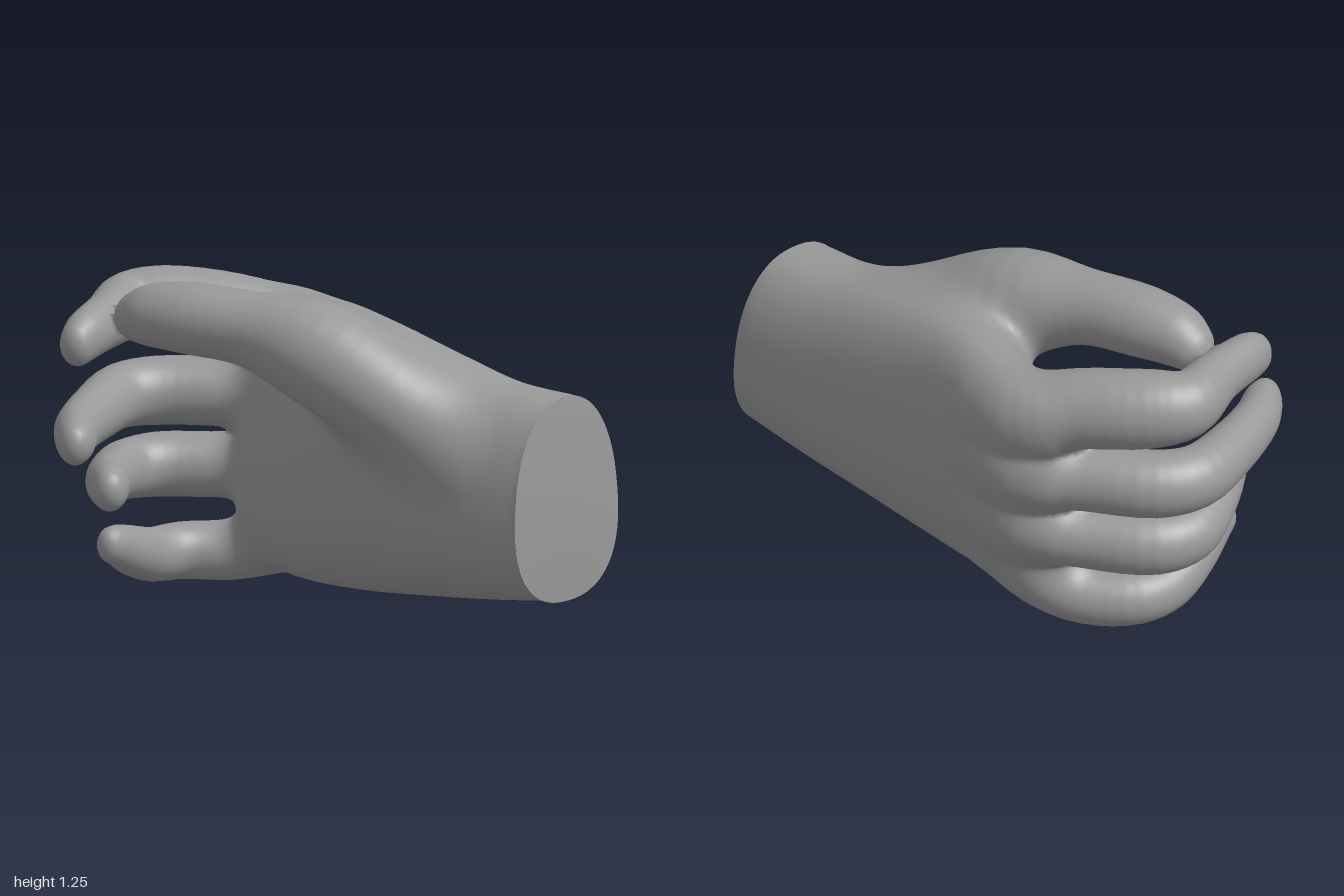
import * as THREE from 'three';

// Palm and wrist cross-sections along z: centre x, centre y, half width, half height,
// lean of x with y, and narrowing towards the top
const PALM_Z = [-0.56, -0.42, -0.2, 0.1, 0.4, 0.7, 0.95];
const PALM = [
  0.33, 0.60, 0.12, 0.45, 0.16, 0,
  0.335, 0.60, 0.195, 0.49, 0.15, 0.1,
  0.325, 0.595, 0.24, 0.52, 0.12, 0.1,
  0.305, 0.59, 0.265, 0.51, 0.05, 0.07,
  0.315, 0.575, 0.28, 0.465, 0.02, 0.07,
  0.345, 0.56, 0.28, 0.415, 0.01, 0.1,
  0.38, 0.57, 0.275, 0.39, 0.02, 0.12,
];
const POWER = 2.35;

// Digits as a path of x, y, z, radius; blend is how softly the base flows into the palm,
// flatten is how much thinner than tall the tip is
const DIGITS = {
  thumb: { blend: 0.13, flatten: 0, path: [
    [0.225, 0.73, 0.56, 0.18], [0.11, 0.895, 0.32, 0.2], [0.025, 1.03, 0.07, 0.2], [-0.07, 1.1, -0.18, 0.145],
    [-0.16, 1.12, -0.42, 0.137], [-0.205, 1.115, -0.56, 0.12], [-0.215, 1.1, -0.625, 0.098]] },
  indexFinger: { blend: 0.09, flatten: 0.25, path: [
    [0.42, 0.92, -0.28, 0.13], [0.41, 0.95, -0.42, 0.15], [0.28, 1.01, -0.6, 0.15], [0.12, 1.04, -0.79, 0.145],
    [0, 1.05, -0.873, 0.12], [-0.2, 1.05, -0.807, 0.094], [-0.38, 1.035, -0.757, 0.08], [-0.44, 1.02, -0.74, 0.066]] },
  middleFinger: { blend: 0.09, flatten: 0.25, path: [
    [0.42, 0.72, -0.28, 0.12], [0.41, 0.71, -0.43, 0.14], [0.27, 0.71, -0.62, 0.13], [0.1, 0.71, -0.825, 0.125],
    [-0.04, 0.71, -0.88, 0.115], [-0.26, 0.7, -0.815, 0.1], [-0.47, 0.695, -0.715, 0.086], [-0.55, 0.69, -0.65, 0.077],
    [-0.597, 0.685, -0.61, 0.06]] },
  ringFinger: { blend: 0.09, flatten: 0.25, path: [
    [0.4, 0.46, -0.28, 0.12], [0.38, 0.45, -0.43, 0.13], [0.25, 0.43, -0.62, 0.122], [0.09, 0.43, -0.805, 0.118],
    [-0.05, 0.435, -0.84, 0.106], [-0.23, 0.46, -0.755, 0.092], [-0.38, 0.485, -0.645, 0.08], [-0.45, 0.497, -0.57, 0.074],
    [-0.487, 0.5, -0.535, 0.06]] },
  littleFinger: { blend: 0.09, flatten: 0.25, path: [
    [0.34, 0.24, -0.25, 0.11], [0.31, 0.17, -0.4, 0.12], [0.22, 0.12, -0.55, 0.112], [0.08, 0.12, -0.685, 0.103],
    [-0.06, 0.13, -0.705, 0.094], [-0.22, 0.185, -0.67, 0.082], [-0.33, 0.233, -0.64, 0.064], [-0.375, 0.247, -0.63, 0.053]] },
};

const palmSection = new THREE.CubicInterpolant(PALM_Z, PALM, 6, new Float32Array(6));
const wristZ = (x, y) => 0.994 - 0.04 * (y - 0.18) + 0.03 * (x - 0.38);

// Smooth minimum of two distances
function blendMin(a, b, k) {
  const h = Math.max(k - Math.abs(a - b), 0);
  return Math.min(a, b) - (h * h) / (4 * k);
}

// Distance to the palm: a boxy egg-shaped oval swept along z, rounded off at the finger webs
function palmDistance(x, y, z) {
  const [cx, cy, hx, hy, lean, narrow] = palmSection.evaluate(z);
  const up = THREE.MathUtils.clamp((y - cy) / hy, -1.2, 1.2);
  const width = hx * (1 - narrow * up);
  const u = Math.abs(x - cx - lean * (y - cy)) / width, v = Math.abs(y - cy) / hy;
  const g = Math.max(Math.pow(u ** POWER + v ** POWER, 1 / POWER), 0.05);
  const slope = Math.hypot((u / g) ** (POWER - 1) / width, (v / g) ** (POWER - 1) / hy);
  const side = (g - 1) / Math.max(slope, 1);
  return -blendMin(-side, z + 0.5 + 0.1 * THREE.MathUtils.clamp(y, 0, 0.9), 0.12);
}

// Sample a digit's path into short tapered capsules: x, y, z, radius, flatness
function digitCapsules({ path, flatten }) {
  const curve = new THREE.CatmullRomCurve3(path.map((p) => new THREE.Vector3(p[0], p[1], p[2])));
  const radii = new THREE.CubicInterpolant(path.map((_, i) => i), path.map((p) => p[3]), 1, new Float32Array(1));
  const spans = path.length - 1, n = spans * 4, points = [];
  for (let i = 0; i <= n; i++) {
    const t = i / n, p = curve.getPoint(t);
    points.push([p.x, p.y, p.z, radii.evaluate(t * spans)[0], 1 - flatten * t * t]);
  }
  return points;
}

function digitDistance(points, x, y, z) {
  let best = Infinity;
  for (let i = 0; i < points.length - 1; i++) {
    const a = points[i], b = points[i + 1];
    const flat = (a[4] + b[4]) / 2, taper = b[3] - a[3];
    const dx = b[0] - a[0], dy = (b[1] - a[1]) * flat, dz = b[2] - a[2];
    const px = x - a[0], py = (y - a[1]) * flat, pz = z - a[2];
    const len2 = dx * dx + dy * dy + dz * dz;
    const along = (px * dx + py * dy + pz * dz) / len2;
    const away = Math.sqrt(Math.max(px * px + py * py + pz * pz - along * along * len2, 0));
    // Slide along the axis so that neighbouring cones join smoothly
    const slide = (away * taper) / Math.sqrt(len2 * Math.max(len2 - taper * taper, len2 * 0.1));
    const t = Math.min(1, Math.max(0, along + slide));
    best = Math.min(best, Math.sqrt(away * away + (along - t) ** 2 * len2) - a[3] - t * taper);
  }
  return best;
}

// Wrap the blended field in a smooth skin of quads, sorted by the nearest part
function buildSkin() {
  const digits = Object.entries(DIGITS).map(([name, d]) => ({ name, blend: d.blend, points: digitCapsules(d) }));
  const field = (x, y, z) => {
    const palm = palmDistance(x, y, z);
    let best = palm;
    for (const d of digits) best = Math.min(best, blendMin(palm, digitDistance(d.points, x, y, z), d.blend));
    return best;
  };
  const nearestPart = (x, y, z) => {
    let best = palmDistance(x, y, z), name = 'palm';
    for (const d of digits) {
      const v = digitDistance(d.points, x, y, z);
      if (v < best) { best = v; name = d.name; }
    }
    return name;
  };
  const gradient = (x, y, z, e = 0.014) => new THREE.Vector3(
    field(x + e, y, z) - field(x - e, y, z),
    field(x, y + e, z) - field(x, y - e, z),
    field(x, y, z + e) - field(x, y, z - e)).divideScalar(2 * e);

  // Field values on a grid
  const h = 0.02, origin = [-0.73, -0.06, -1.07], size = [73, 70, 108];
  const step = [1, size[0], size[0] * size[1]];
  const values = new Float32Array(step[2] * size[2]);
  const at = (i, j, k) => i + j * step[1] + k * step[2];
  for (let k = 0; k < size[2]; k++) for (let j = 0; j < size[1]; j++) for (let i = 0; i < size[0]; i++)
    values[at(i, j, k)] = field(origin[0] + i * h, origin[1] + j * h, origin[2] + k * h);

  // One vertex in each cell the surface passes through
  const vertexOf = new Int32Array(values.length).fill(-1);
  const position = [], normal = [], cut = [];
  for (let k = 0; k < size[2] - 1; k++) for (let j = 0; j < size[1] - 1; j++) for (let i = 0; i < size[0] - 1; i++) {
    const sum = [0, 0, 0];
    let hits = 0;
    for (let c = 0; c < 8; c++) for (let a = 0; a < 3; a++) {
      if (c & (1 << a)) continue;
      const corner = [c & 1, (c >> 1) & 1, (c >> 2) & 1];
      const n = at(i + corner[0], j + corner[1], k + corner[2]);
      const v0 = values[n], v1 = values[n + step[a]];
      if (v0 < 0 === v1 < 0) continue;
      corner[a] = v0 / (v0 - v1);
      for (let m = 0; m < 3; m++) sum[m] += corner[m];
      hits++;
    }
    if (!hits) continue;
    const p = new THREE.Vector3(i + sum[0] / hits, j + sum[1] / hits, k + sum[2] / hits)
      .multiplyScalar(h).add(new THREE.Vector3(...origin));
    const g = gradient(p.x, p.y, p.z);
    const shift = -field(p.x, p.y, p.z) / Math.max(g.lengthSq(), 0.3);
    p.addScaledVector(g, THREE.MathUtils.clamp(shift, -h / 2, h / 2));
    const end = wristZ(p.x, p.y);
    cut.push(p.z > end);
    p.z = Math.min(p.z, end);
    vertexOf[at(i, j, k)] = cut.length - 1;
    position.push(p.x, p.y, p.z);
    normal.push(...gradient(p.x, p.y, p.z).normalize());
  }

  // A quad around each grid edge the surface crosses, leaving the wrist end open
  const faces = {};
  for (let k = 1; k < size[2] - 1; k++) for (let j = 1; j < size[1] - 1; j++) for (let i = 1; i < size[0] - 1; i++)
    for (let a = 0; a < 3; a++) {
      const n = at(i, j, k), inside = values[n] < 0;
      if (inside === values[n + step[a]] < 0) continue;
      const b = step[(a + 1) % 3], c = step[(a + 2) % 3];
      const q = [n, n - b, n - b - c, n - c].map((m) => vertexOf[m]);
      if (q.includes(-1) || q.every((m) => cut[m])) continue;
      if (!inside) q.reverse();
      const mid = [0, 1, 2].map((m) => q.reduce((s, v) => s + position[v * 3 + m], 0) / 4);
      (faces[nearestPart(...mid)] ??= []).push(q[0], q[1], q[2], q[0], q[2], q[3]);
    }
  return Object.entries(faces).map(([name, index]) => {
    const geometry = new THREE.BufferGeometry();
    geometry.setAttribute('position', new THREE.Float32BufferAttribute(position, 3));
    geometry.setAttribute('normal', new THREE.Float32BufferAttribute(normal, 3));
    geometry.setIndex(index);
    return { name, geometry: geometry.toNonIndexed() };
  });
}

// Slightly domed cap that closes the wrist
function wristCap() {
  const [cx, cy, hx, hy, lean, narrow] = PALM.slice(-6);
  const geometry = new THREE.RingGeometry(0, 1, 72, 8);
  const p = geometry.attributes.position;
  for (let i = 0; i < p.count; i++) {
    const r = Math.hypot(p.getX(i), p.getY(i)), angle = Math.atan2(p.getY(i), p.getX(i));
    const c = Math.cos(angle), s = Math.sin(angle);
    const up = r * Math.sign(s) * Math.abs(s) ** (2 / POWER);
    const x = cx + lean * hy * up + r * hx * (1 - narrow * up) * Math.sign(c) * Math.abs(c) ** (2 / POWER);
    const y = cy + hy * up;
    p.setXYZ(i, x, y, wristZ(x, y) + 0.015 * (1 - r * r));
  }
  geometry.computeVertexNormals();
  return geometry;
}

export function createModel() {
  const hand = new THREE.Group();
  hand.name = 'hand';
  const skin = new THREE.MeshStandardMaterial({ color: 0x999999 });
  skin.name = 'grey skin';
  for (const { name, geometry } of [...buildSkin(), { name: 'wristCap', geometry: wristCap() }]) {
    const mesh = new THREE.Mesh(geometry, skin);
    mesh.name = name;
    hand.add(mesh);
  }
  return hand;
}
